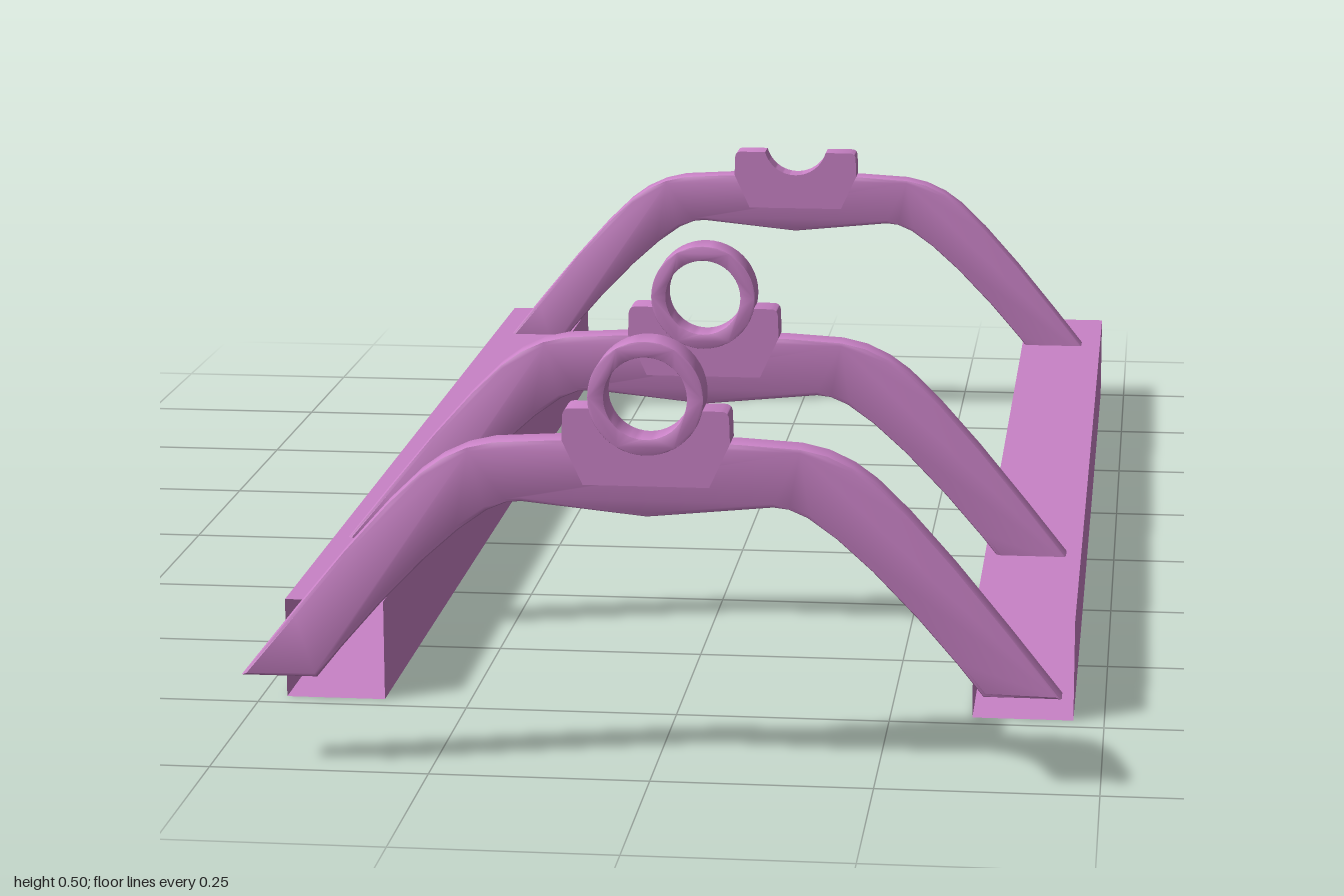
import * as THREE from 'three';
import { toCreasedNormals } from 'three/addons/utils/BufferGeometryUtils.js';

const CX = -0.003; // centre line of the frame
const RING_Y = 0.437;
const material = new THREE.MeshStandardMaterial({ color: 0xc982c6 });
const shellMaterial = new THREE.MeshStandardMaterial({ color: 0xc982c6, side: THREE.DoubleSide });

// Extrudes a shape to a total depth centred on z = 0, with softened edges
function slab(shape, depth, bevel, name) {
  const geometry = new THREE.ExtrudeGeometry(shape, {
    depth: depth - 2 * bevel, bevelEnabled: bevel > 0, bevelThickness: bevel,
    bevelSize: bevel, bevelOffset: -bevel, bevelSegments: 2, curveSegments: 24,
  });
  geometry.translate(0, 0, -depth / 2 + bevel);
  const mesh = new THREE.Mesh(toCreasedNormals(geometry, 0.6), material);
  mesh.name = name;
  return mesh;
}

const mirrored = (points) => points.map(([x, y]) => [-x, y]).reverse();

// Bowed crossmember: outer and inner edges of one half, mirrored
function archShape() {
  const outer = [[0.459, 0.107], [0.4, 0.181], [0.34, 0.254], [0.29, 0.31], [0.253, 0.346],
    [0.228, 0.364], [0.2, 0.377], [0.17, 0.384], [0.1, 0.388]];
  const inner = [[0, 0.302], [0.14, 0.316], [0.157, 0.314], [0.178, 0.305], [0.21, 0.282],
    [0.25, 0.246], [0.3, 0.194], [0.345, 0.142], [0.373, 0.107]];
  const loop = [...outer, ...mirrored(outer), ...mirrored(inner), ...inner.slice(1)];
  return new THREE.Shape(loop.map(([x, y]) => new THREE.Vector2(x, y)));
}

// Seat block with a round cradle cut into its top
function saddleShape() {
  const r = 0.048, top = 0.424, dy = top - RING_Y;
  const hx = Math.sqrt(r * r - dy * dy), a = Math.asin(dy / r);
  const s = new THREE.Shape();
  s.moveTo(-0.07, 0.338);
  s.lineTo(0.07, 0.338);
  s.lineTo(0.093, 0.388);
  s.lineTo(0.092, 0.416);
  s.quadraticCurveTo(0.091, top, 0.083, top);
  s.lineTo(hx, top);
  s.absarc(0, RING_Y, r, a, -Math.PI - a, true);
  s.lineTo(-0.083, top);
  s.quadraticCurveTo(-0.091, top, -0.092, 0.416);
  s.lineTo(-0.093, 0.388);
  s.closePath();
  return s;
}

function ringShape() {
  const s = new THREE.Shape();
  s.absarc(0, RING_Y, 0.064, 0, Math.PI * 2, false);
  const hole = new THREE.Path();
  hole.absarc(0, RING_Y, 0.046, 0, Math.PI * 2, true);
  s.holes.push(hole);
  return s;
}

function crossmember(name, y, z, hasRing) {
  const group = new THREE.Group();
  group.name = name;
  group.add(slab(archShape(), 0.035, 0.005, 'arch'));
  group.add(slab(saddleShape(), 0.04, 0, 'saddle'));
  if (hasRing) group.add(slab(ringShape(), 0.044, 0.001, 'bearingRing'));
  group.position.set(CX, y, z);
  return group;
}

// Open-ended square tube with thin walls
function rail(name, x) {
  const group = new THREE.Group();
  group.name = name;
  const w = 0.118, h = 0.12, length = 1.725;
  for (const [turn, width, offset] of [[0, w, h / 2], [1, h, w / 2], [2, w, h / 2], [3, h, w / 2]]) {
    const wall = new THREE.PlaneGeometry(width, length);
    wall.rotateX(-Math.PI / 2).translate(0, offset, 0).rotateZ(turn * Math.PI / 2);
    const mesh = new THREE.Mesh(wall, shellMaterial);
    mesh.name = 'railWall';
    group.add(mesh);
  }
  group.position.set(x, h / 2, -1 + length / 2);
  return group;
}

export function createModel() {
  const model = new THREE.Group();
  model.name = 'railFrame';
  for (const side of [1, -1]) {
    model.add(rail(side > 0 ? 'leftRail' : 'rightRail', CX + side * 0.408));
  }
  model.add(crossmember('frontCrossmember', 0, 0.978, true));
  model.add(crossmember('middleCrossmember', 0, 0.42, true));
  model.add(crossmember('rearCrossmember', -0.012, -0.82, false));
  return model;
}
